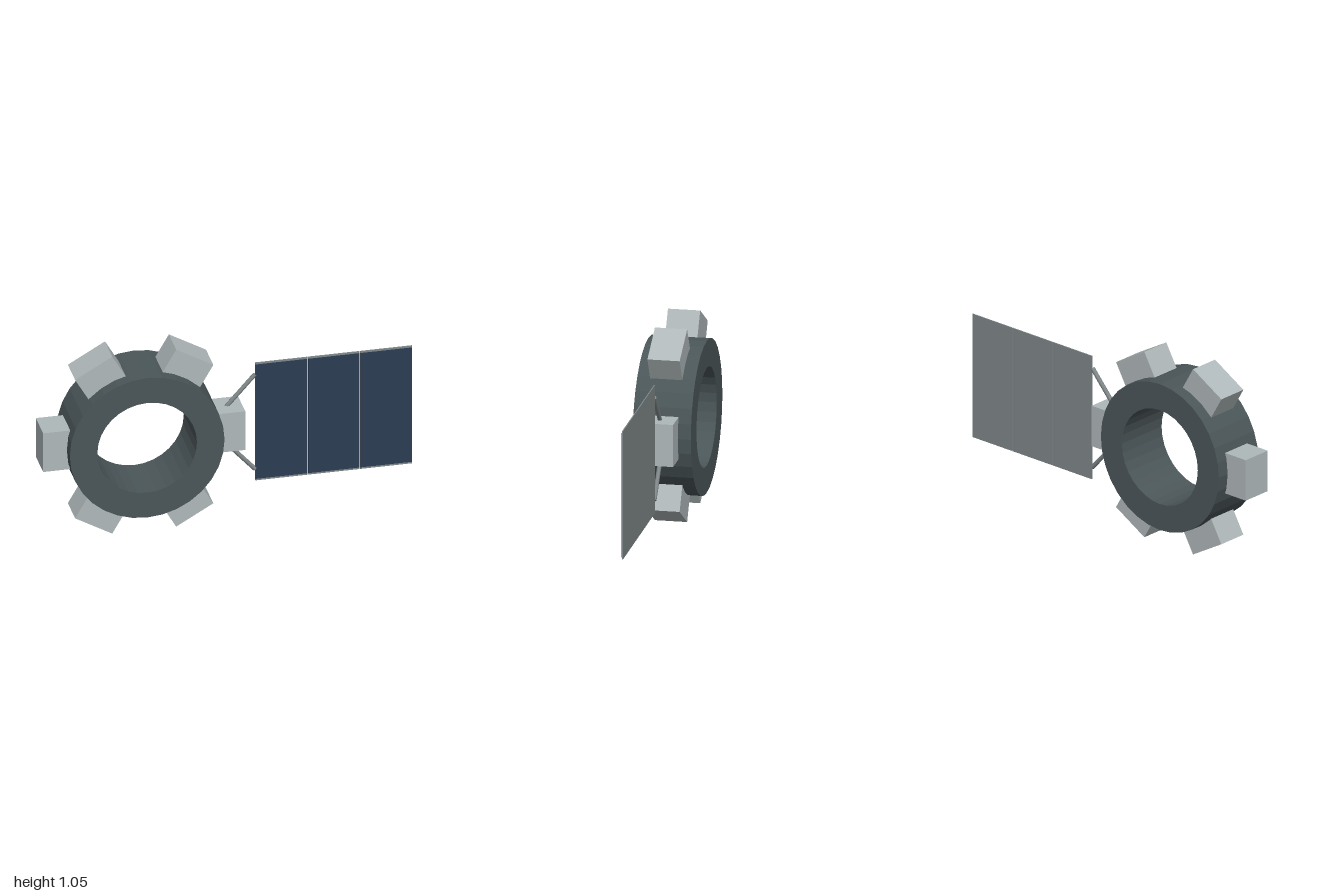
import * as THREE from 'three';

const CX = -0.458, CY = 0.529;

function material(name, color, flatShading = false) {
  const m = new THREE.MeshStandardMaterial({ color, flatShading });
  m.name = name;
  return m;
}

function add(parent, name, geometry, mat, x = 0, y = 0, z = 0) {
  const mesh = new THREE.Mesh(geometry, mat);
  mesh.name = name;
  mesh.position.set(x, y, z);
  parent.add(mesh);
  return mesh;
}

// Regular polygon outline, used for the faceted ring
function polygon(radius, sides) {
  return Array.from({ length: sides }, (_, i) => {
    const a = (i / sides) * Math.PI * 2;
    return new THREE.Vector2(Math.cos(a) * radius, Math.sin(a) * radius);
  });
}

export function createModel() {
  const model = new THREE.Group();
  model.name = 'ringStation';
  const hull = material('dark hull grey', 0x4b5659, true);
  const module = material('light module grey', 0xafb8ba);
  const metal = material('frame grey', 0x808889);
  const cells = material('solar cell blue', 0x2c3c54);

  // Ring habitat with outward modules
  const habitat = new THREE.Group();
  habitat.name = 'habitat';
  habitat.position.set(CX, CY, 0);
  model.add(habitat);

  const shape = new THREE.Shape(polygon(0.415, 32));
  shape.holes.push(new THREE.Path(polygon(0.267, 32)));
  const ring = new THREE.ExtrudeGeometry(shape, { depth: 0.31, bevelEnabled: false });
  ring.translate(0, 0, -0.155);
  add(habitat, 'ring', ring, hull);

  const moduleGeometry = new THREE.BoxGeometry(0.172, 0.23, 0.172);
  for (let i = 0; i < 6; i++) {
    const a = (i * Math.PI) / 3;
    const box = add(habitat, 'module', moduleGeometry, module, Math.cos(a) * 0.456, Math.sin(a) * 0.456, 0);
    box.rotation.z = a;
  }

  // Struts from the side module to the solar array
  for (const side of [1, -1]) {
    const start = new THREE.Vector3(0.0, CY + side * 0.107, 0);
    const end = new THREE.Vector3(0.155, CY + side * 0.281, 0);
    const dir = end.clone().sub(start);
    const strut = add(model, 'strut', new THREE.CylinderGeometry(0.012, 0.012, dir.length(), 8), metal);
    strut.position.copy(start).add(end).multiplyScalar(0.5);
    strut.quaternion.setFromUnitVectors(new THREE.Vector3(0, 1, 0), dir.normalize());
  }

  // Solar array: three backing panels with cell faces on the front
  const array = new THREE.Group();
  array.name = 'solarArray';
  model.add(array);
  const backing = new THREE.BoxGeometry(0.278, 0.7, 0.006);
  const face = new THREE.BoxGeometry(0.274, 0.68, 0.002);
  for (let i = 0; i < 3; i++) {
    const x = 0.296 + i * 0.2815;
    add(array, 'panelBacking', backing, metal, x, CY, -0.001);
    add(array, 'panelCells', face, cells, x, CY, 0.003);
  }
  return model;
}
